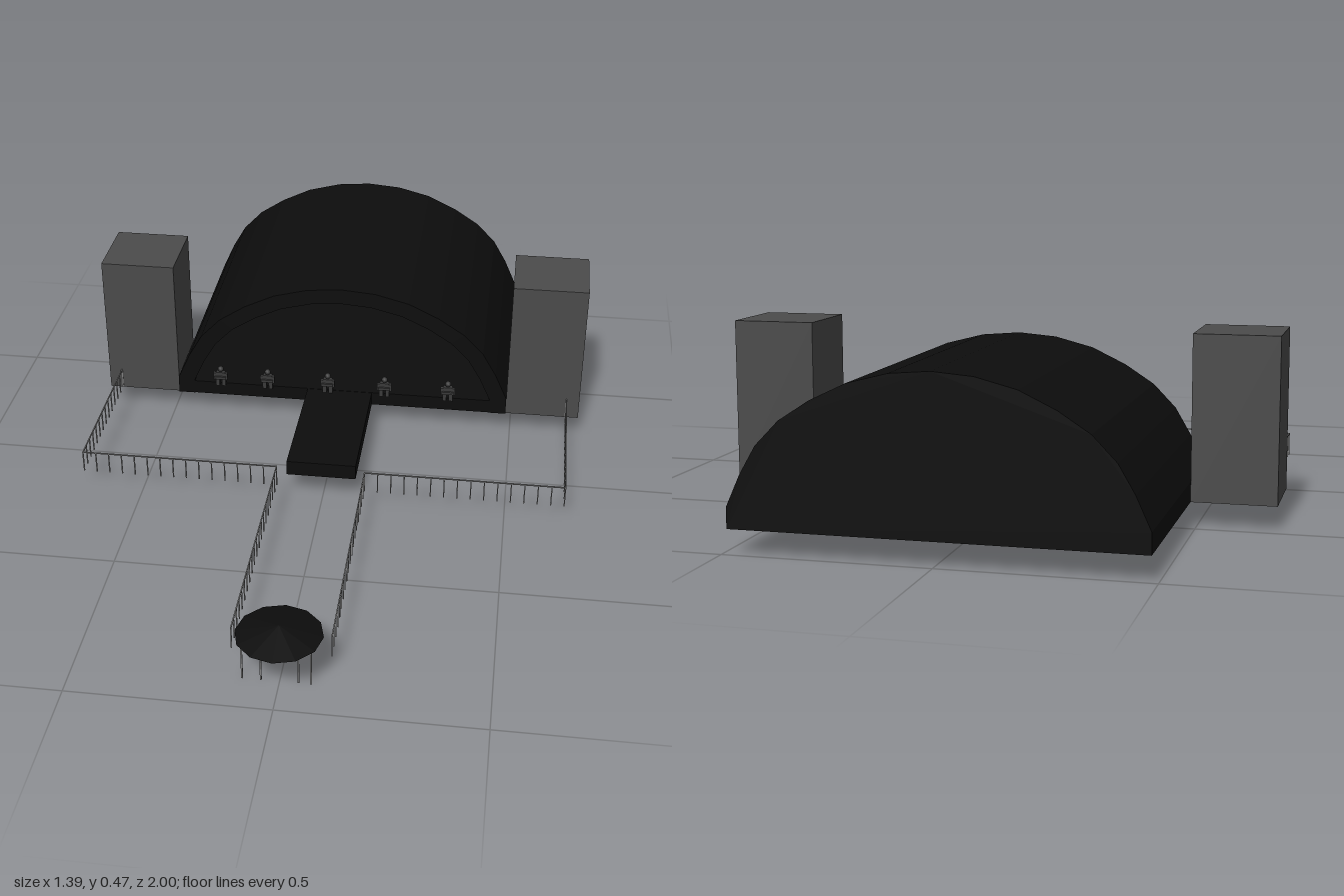
import * as THREE from 'three';

const mat = (name, color) => {
  const m = new THREE.MeshStandardMaterial({ color });
  m.name = name;
  return m;
};

export function createModel() {
  const black = mat('stageBlack', 0x0d0d0d);
  const grey = mat('towerGrey', 0x4b4b4b);
  const cloth = mat('performerGrey', 0x3a3a3a);
  const steel = mat('railSteel', 0x808080);

  const model = new THREE.Group();
  model.name = 'openAirStage';

  const add = (parent, name, geometry, material, x = 0, y = 0, z = 0) => {
    const mesh = new THREE.Mesh(geometry, material);
    mesh.name = name;
    mesh.position.set(x, y, z);
    parent.add(mesh);
    return mesh;
  };
  const box = (parent, name, material, w, h, d, x, y, z) =>
    add(parent, name, new THREE.BoxGeometry(w, h, d), material, x, y, z);

  // Arched roof: half profile from the ground to the crown, mirrored
  const half = [[0.485, 0.06], [0.485, 0.11], [0.45, 0.187], [0.411, 0.254], [0.354, 0.313],
    [0.28, 0.361], [0.194, 0.402], [0.097, 0.427]];
  const outer = [...half, [0, 0.435], ...half.map(([x, y]) => [-x, y]).reverse()]
    .map(([x, y]) => new THREE.Vector2(x, y));
  const inner = outer.map(p => new THREE.Vector2(p.x * 0.9, 0.06 + (p.y - 0.06) * 0.88));
  const extrude = (points, depth) =>
    new THREE.ExtrudeGeometry(new THREE.Shape(points), { depth, bevelEnabled: false });
  add(model, 'archedRoof', extrude([...outer, ...inner.slice().reverse()], 0.72), black, 0, 0, -0.98);
  add(model, 'backWall', extrude(outer, 0.02), black, 0, 0, -1);
  box(model, 'stageFloor', black, 0.966, 0.04, 0.72, 0, 0.081, -0.62);

  // Runway rising gently towards the audience
  const side = [[0.26, 0.058], [-0.15, 0.073], [-0.15, 0.115], [0.26, 0.1]]
    .map(([u, y]) => new THREE.Vector2(u, y));
  add(model, 'runway', extrude(side, 0.19), black, -0.098, 0, 0).rotation.y = Math.PI / 2;

  // Speaker towers
  for (const s of [-1, 1]) {
    box(model, s > 0 ? 'leftTower' : 'rightTower', grey, 0.21, 0.41, 0.21, s * 0.59, 0.265, -0.37);
  }

  // Performers along the front edge
  [-0.355, -0.215, -0.037, 0.13, 0.315].forEach((x, i) => {
    const p = new THREE.Group();
    p.name = `performer${i + 1}`;
    p.position.set(x, 0.1, -0.25);
    for (const s of [-1, 1]) {
      box(p, 'leg', cloth, 0.011, 0.024, 0.012, s * 0.009, 0.012, 0);
      box(p, 'arm', cloth, 0.008, 0.022, 0.01, s * 0.017, 0.032, 0.003);
    }
    box(p, 'torso', cloth, 0.026, 0.022, 0.014, 0, 0.034, 0);
    add(p, 'head', new THREE.SphereGeometry(0.009, 8, 6), cloth, 0, 0.054, 0);
    box(p, 'instrument', cloth, 0.034, 0.008, 0.006, 0, 0.029, 0.01);
    model.add(p);
  });

  // Crowd barriers: a top rail on evenly spaced posts
  const t = 0.003;
  const barrier = (name, x0, z0, x1, z1) => {
    const g = new THREE.Group();
    g.name = name;
    const dx = x1 - x0, dz = z1 - z0;
    box(g, 'topRail', steel, Math.abs(dx) + t, t, Math.abs(dz) + t, (x0 + x1) / 2, 0.12, (z0 + z1) / 2);
    const n = Math.round(Math.hypot(dx, dz) / 0.036);
    for (let i = 0; i <= n; i++) {
      box(g, 'post', steel, t, 0.06, t, x0 + dx * i / n, 0.09, z0 + dz * i / n);
    }
    model.add(g);
  };
  for (const s of [-1, 1]) {
    barrier('sideBarrier', s * 0.658, -0.265, s * 0.658, 0.185);
    barrier('frontBarrier', s * 0.658, 0.185, s * 0.12, 0.185);
    barrier('aisleBarrier', s * 0.12, 0.185, s * 0.12, 0.865);
  }

  // Sound desk canopy
  const canopy = new THREE.ConeGeometry(0.105, 0.025, 12).toNonIndexed();
  canopy.computeVertexNormals();
  add(model, 'canopy', canopy, black, 0, 0.153, 0.895);
  for (const x of [-0.09, -0.045, 0.045, 0.075]) {
    box(model, 'canopyLeg', steel, 0.004, 0.142, 0.004, x, 0.071, 0.9);
  }
  return model;
}
